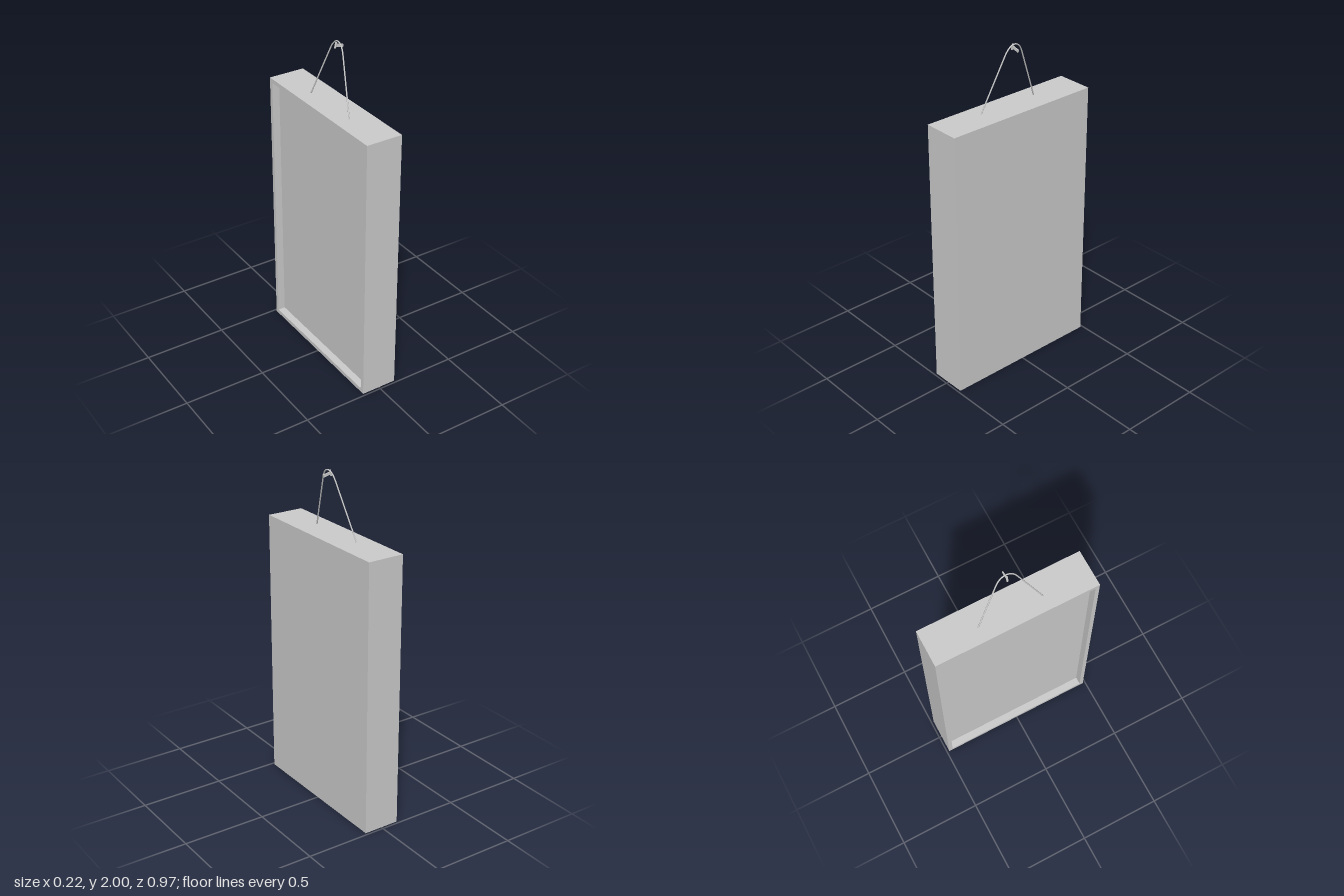
import * as THREE from 'three';

const WIDTH = 0.97, HEIGHT = 1.63, DEPTH = 0.22; // z, y, x extents
const RIM = 0.025, RECESS = 0.045;

const material = new THREE.MeshStandardMaterial({ color: 0xcccccc });

function addMesh(parent, name, geometry) {
  const mesh = new THREE.Mesh(geometry, material);
  mesh.name = name;
  parent.add(mesh);
  return mesh;
}

function rectangle(PathType, halfWidth, bottom, top) {
  return new PathType([
    new THREE.Vector2(-halfWidth, bottom),
    new THREE.Vector2(halfWidth, bottom),
    new THREE.Vector2(halfWidth, top),
    new THREE.Vector2(-halfWidth, top),
  ]);
}

export function createModel() {
  const model = new THREE.Group();
  model.name = 'hangingPanel';

  // Solid panel on the +x side
  const panel = addMesh(model, 'panel', new THREE.BoxGeometry(DEPTH - RECESS, HEIGHT, WIDTH));
  panel.position.set(RECESS / 2, HEIGHT / 2, 0);

  // Raised rim around the recess on the -x side
  const outline = rectangle(THREE.Shape, WIDTH / 2, 0, HEIGHT);
  outline.holes.push(rectangle(THREE.Path, WIDTH / 2 - RIM, RIM, HEIGHT - RIM));
  const rim = new THREE.ExtrudeGeometry(outline, { depth: RECESS, bevelEnabled: false });
  rim.rotateY(-Math.PI / 2);
  addMesh(model, 'backRim', rim).position.x = RECESS - DEPTH / 2;

  // Hanging cord: two straight runs joined by a bend, in a plane leaning to +x
  const cordPoint = (z, y) => new THREE.Vector3(-0.022 + (y - HEIGHT) * 0.145, y, z);
  const bend = [cordPoint(0.06, 1.94), cordPoint(0.029, 2.015), cordPoint(-0.029, 2.015), cordPoint(-0.06, 1.94)];
  const path = new THREE.CurvePath();
  path.add(new THREE.LineCurve3(cordPoint(0.194, 1.62), bend[0]));
  path.add(new THREE.CubicBezierCurve3(...bend));
  path.add(new THREE.LineCurve3(bend[3], cordPoint(-0.194, 1.62)));
  addMesh(model, 'cord', new THREE.TubeGeometry(path, 80, 0.004, 8, false));

  // Small nail holding the cord: flat shank and upright head
  const nail = new THREE.Group();
  nail.name = 'nail';
  nail.position.set(0.016, 1.977, 0);
  nail.rotation.z = -0.25;
  model.add(nail);
  addMesh(nail, 'nailShank', new THREE.BoxGeometry(0.05, 0.016, 0.006)).position.x = 0.024;
  const head = new THREE.CylinderGeometry(0.006, 0.006, 0.034, 10);
  addMesh(nail, 'nailHead', head);

  return model;
}
